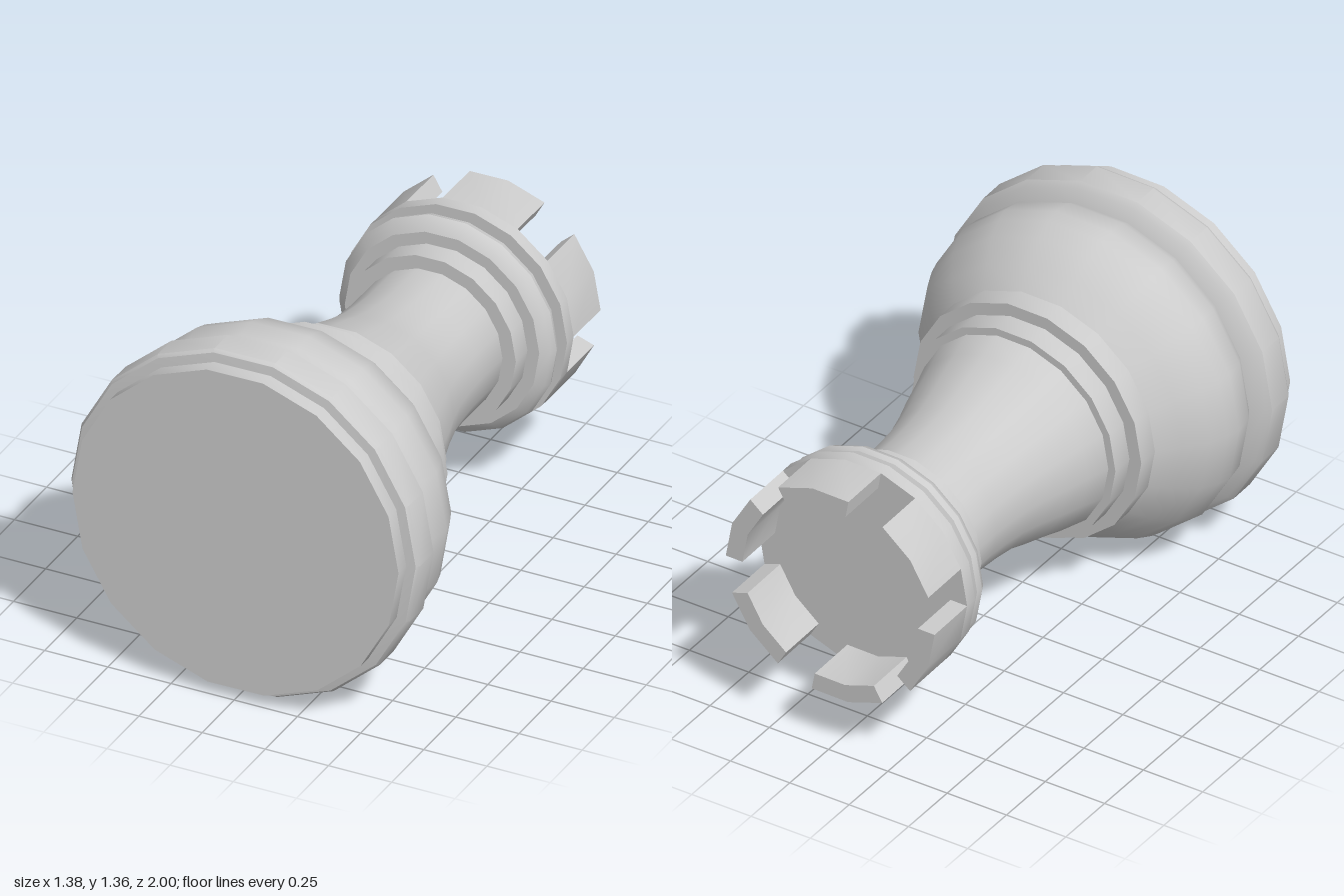
import * as THREE from 'three';
import { toCreasedNormals } from 'three/addons/utils/BufferGeometryUtils.js';

const SIDES = 18;
const STEP = (Math.PI * 2) / SIDES;
const CREASE = 0.6;

export function createModel() {
  const model = new THREE.Group();
  model.name = 'rook';
  const piece = new THREE.Group();
  piece.name = 'lyingPiece';
  model.add(piece);
  const material = new THREE.MeshStandardMaterial({ color: 0xcccccc });

  const add = (name, geometry) => {
    const mesh = new THREE.Mesh(toCreasedNormals(geometry, CREASE), material);
    mesh.name = name;
    piece.add(mesh);
  };

  // Turned part: profile points are [radius, z], running from the foot to the crown
  const turned = (name, profile) => {
    const points = profile.map(([r, z]) => new THREE.Vector2(r, -z));
    add(name, new THREE.LatheGeometry(points, SIDES, STEP / 2).rotateX(-Math.PI / 2));
  };

  // Foot with its rounded rim
  turned('foot', [[0, 0.99], [0.645, 0.99], [0.645, 0.93]]);
  turned('footRim', [[0.645, 0.93], [0.68, 0.925], [0.69, 0.91], [0.69, 0.805], [0.67, 0.785], [0.62, 0.762]]);

  // Bulging body
  turned('body', [[0.62, 0.762], [0.647, 0.72], [0.658, 0.64], [0.645, 0.59], [0.615, 0.52], [0.55, 0.44], [0.48, 0.37]]);

  // Stepped collars below the neck
  turned('lowerCollar', [[0.48, 0.37], [0.48, 0.282], [0.43, 0.282], [0.43, 0.192], [0.4, 0.192]]);

  // Waisted neck
  turned('neck', [[0.4, 0.192], [0.373, 0.1], [0.347, 0], [0.323, -0.08], [0.302, -0.17], [0.291, -0.26], [0.285, -0.35], [0.285, -0.53]]);

  // Collar and bead under the head
  turned('upperCollar', [[0.285, -0.53], [0.338, -0.53], [0.338, -0.62]]);
  turned('bead', [[0.338, -0.62], [0.385, -0.62], [0.418, -0.643], [0.43, -0.668], [0.423, -0.69], [0.4, -0.703], [0.39, -0.728]]);

  // Head drum with its flat floor
  turned('head', [[0.39, -0.728], [0.44, -0.728], [0.44, -0.78], [0, -0.78]]);

  // Six battlements, each two facets wide with a one-facet gap
  for (let i = 0; i < 6; i++) {
    const ring = (r, steps) => steps.map((s) => {
      const a = (i * 3 + s) * STEP;
      return new THREE.Vector2(r * Math.cos(a), r * Math.sin(a));
    });
    const shape = new THREE.Shape([...ring(0.44, [0, 1, 2]), ...ring(0.37, [2, 1, 0])]);
    const geometry = new THREE.ExtrudeGeometry(shape, { depth: 0.21, bevelEnabled: false });
    add('battlement' + (i + 1), geometry.translate(0, 0, -0.99));
  }

  // Lying on its side, tipped slightly toward the head
  piece.rotation.set(-0.0155, 0, 0.012);
  piece.position.y = 0.674;
  return model;
}
